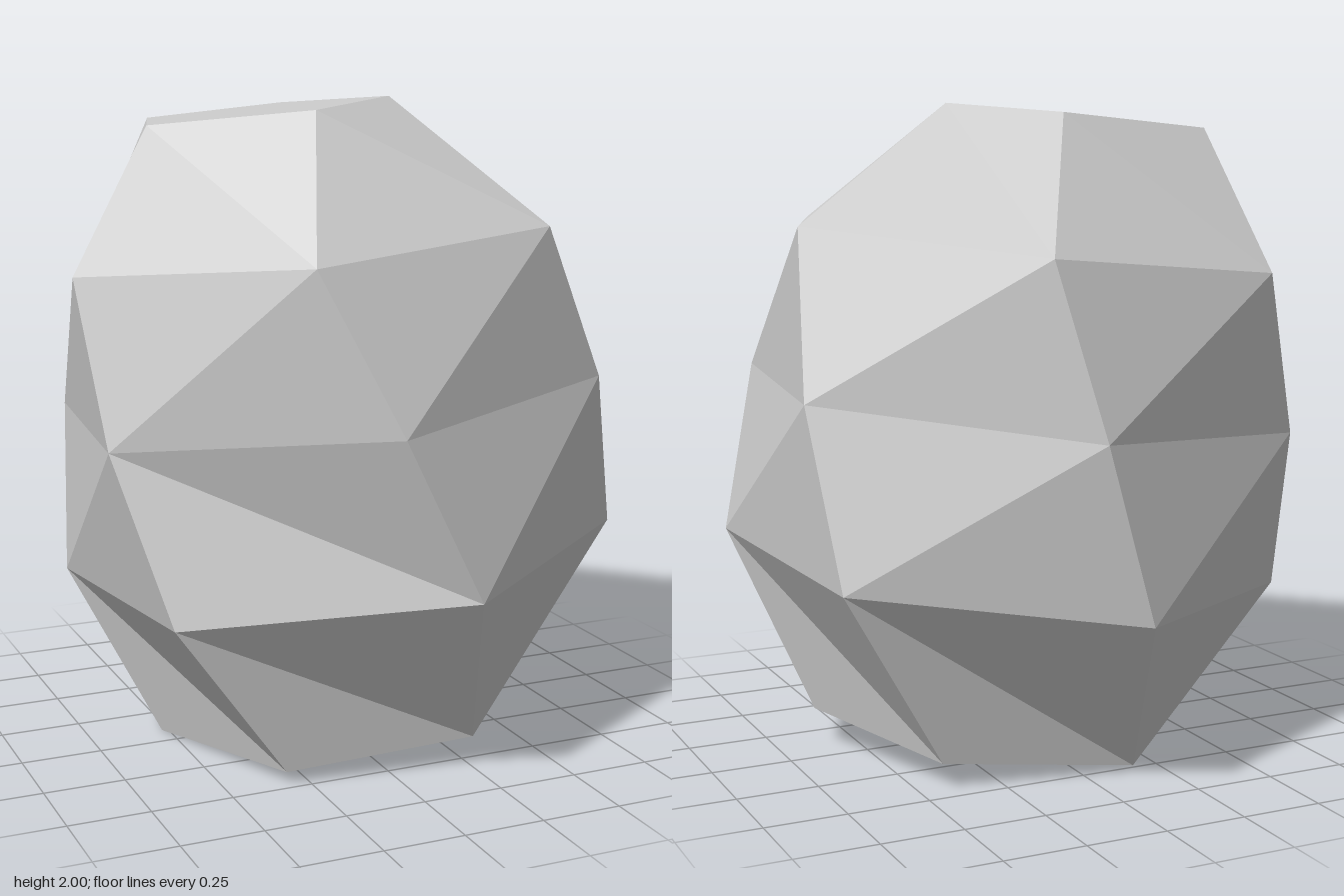
import * as THREE from 'three';

// Each ring is six [x, z] corners lying in a slightly tilted plane of height h.
const rings = [
  { h: 1.98, pts: [[0.2, 0.05], [-0.18, 0.37], [-0.58, 0.05], [-0.41, -0.46], [0.03, -0.41], [0.2, 0.05]] },
  { h: 1.577, pts: [[0.46, 0.595], [-0.33, 0.725], [-0.83, 0.11], [-0.545, -0.635], [0.24, -0.775], [0.75, -0.15]] },
  { h: 1.09, pts: [[0.685, 0.525], [-0.12, 0.855], [-0.8, 0.325], [-0.685, -0.54], [0.12, -0.87], [0.805, -0.34]] },
  { h: 0.578, pts: [[0.83, 0.37], [0.12, 0.865], [-0.67, 0.5], [-0.74, -0.37], [-0.03, -0.87], [0.755, -0.5]] },
  { h: 0.058, pts: [[0.63, 0.12], [0.25, 0.57], [-0.32, 0.475], [-0.52, -0.09], [-0.15, -0.535], [0.43, -0.435]] },
];

// Which way each quad of a band is split: 1 makes a dented facet pair.
const splits = ['110110', '000000', '010000', '011011'];

export function createModel() {
  const corners = rings.map(({ h, pts }) =>
    pts.map(([x, z]) => new THREE.Vector3(x, h + 0.096 * x + 0.035 * z, z)));
  const positions = [];
  const tri = (a, b, c) => {
    if (a.equals(b) || b.equals(c) || c.equals(a)) return; // merged corner of the top ring
    for (const p of [a, b, c]) positions.push(p.x, p.y, p.z);
  };

  // Faceted bands between neighbouring rings
  splits.forEach((split, r) => {
    for (let k = 0; k < 6; k++) {
      const n = (k + 1) % 6;
      const a = corners[r][k], b = corners[r][n];
      const c = corners[r + 1][n], d = corners[r + 1][k];
      if (split[k] === '1') {
        tri(a, b, d);
        tri(b, c, d);
      } else {
        tri(a, b, c);
        tri(a, c, d);
      }
    }
  });

  // Flat top and base
  const top = corners[0], base = corners[4];
  for (let k = 1; k < 5; k++) {
    tri(top[0], top[k + 1], top[k]);
    tri(base[0], base[k], base[k + 1]);
  }

  const geometry = new THREE.BufferGeometry();
  geometry.setAttribute('position', new THREE.Float32BufferAttribute(positions, 3));
  geometry.computeVertexNormals();

  const rock = new THREE.Mesh(geometry,
    new THREE.MeshStandardMaterial({ color: 0xcccccc, flatShading: true }));
  rock.name = 'rock';

  const group = new THREE.Group();
  group.name = 'boulder';
  group.add(rock);
  return group;
}
